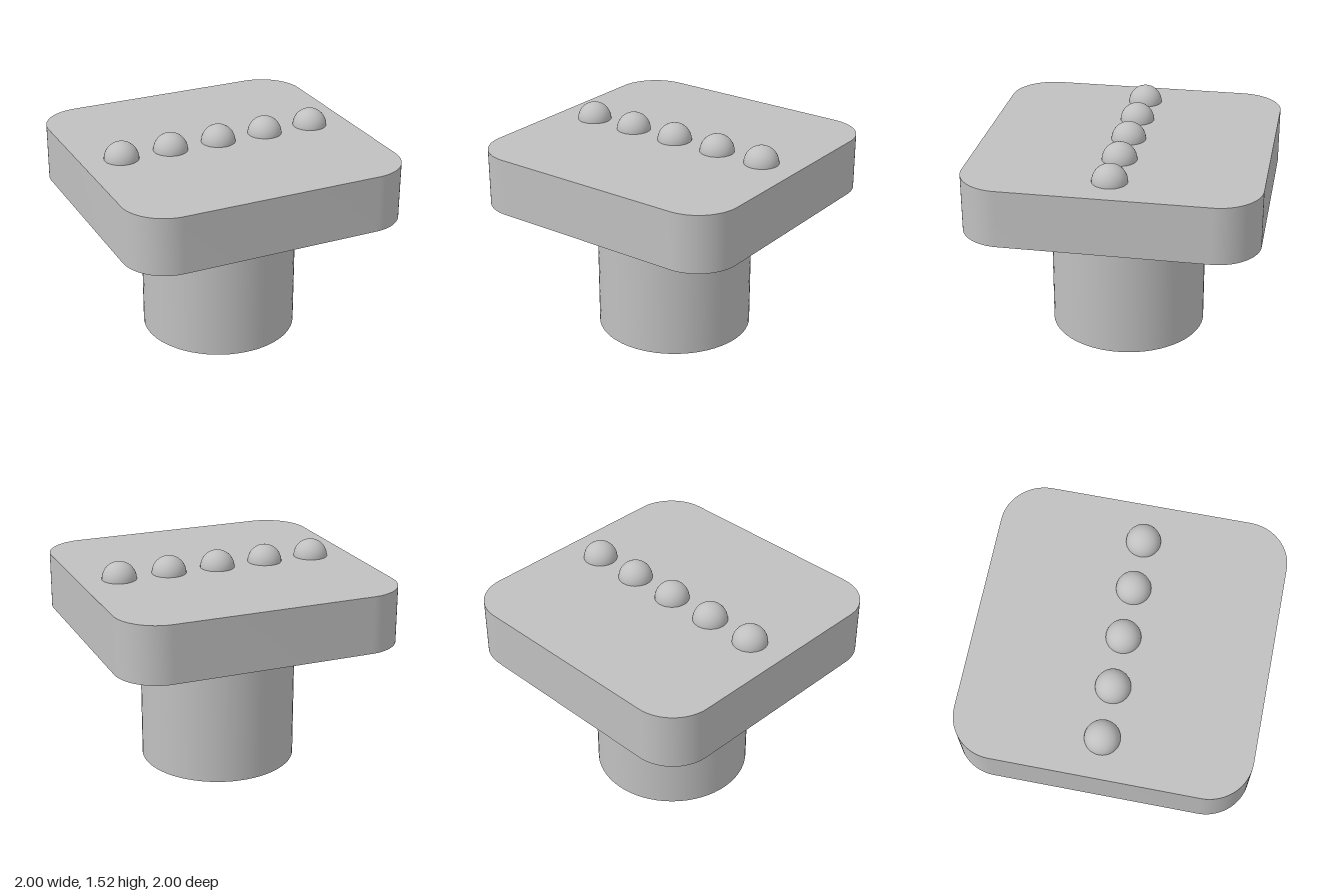
import * as THREE from 'three';
import { toCreasedNormals } from 'three/addons/utils/BufferGeometryUtils.js';

export function createModel() {
  const model = new THREE.Group();
  model.name = 'studdedKnob';
  const grey = new THREE.MeshStandardMaterial({ color: 0xc0c0c0 });
  grey.name = 'plain grey';

  const add = (name, geometry, x = 0, y = 0, z = 0) => {
    const mesh = new THREE.Mesh(geometry, grey);
    mesh.name = name;
    mesh.position.set(x, y, z);
    model.add(mesh);
  };

  // Rounded square plate
  const s = 1, r = 0.3, c = s - r;
  const outline = new THREE.Shape();
  outline.absarc(c, c, r, 0, Math.PI / 2);
  outline.absarc(-c, c, r, Math.PI / 2, Math.PI);
  outline.absarc(-c, -c, r, Math.PI, Math.PI * 1.5);
  outline.absarc(c, -c, r, Math.PI * 1.5, Math.PI * 2);
  const plate = new THREE.ExtrudeGeometry(outline, { depth: 0.4, bevelEnabled: false, curveSegments: 16 });
  plate.rotateX(-Math.PI / 2);
  add('plate', toCreasedNormals(plate, 0.5), 0, 1);

  // Row of domed studs
  for (let i = -2; i <= 2; i++) {
    add('stud', new THREE.SphereGeometry(0.12, 32, 16, 0, Math.PI * 2, 0, Math.PI / 2), i * 0.36, 1.4);
  }

  // Round stem wall
  add('stem', new THREE.CylinderGeometry(0.55, 0.55, 1, 64, 1, true), 0, 0.5);

  // Six-armed socket outline: an inner corner, then the two corners of an arm tip
  const star = (inner, tip, halfAngle) => {
    const points = [];
    for (let i = 0; i < 6; i++) {
      const a = i * Math.PI / 3, mid = a + Math.PI / 6;
      for (const [radius, angle] of [[inner, a], [tip, mid - halfAngle], [tip, mid + halfAngle]]) {
        points.push(new THREE.Vector2(radius * Math.cos(angle), radius * Math.sin(angle)));
      }
    }
    return points;
  };
  const rim = star(0.3, 0.546, 0.133);
  const core = star(0.205, 0.5, 0.04);

  // Underside of the stem, pierced by the socket
  const base = new THREE.Shape().absarc(0, 0, 0.55, 0, Math.PI * 2);
  base.holes.push(new THREE.Path(rim));
  add('stemBase', new THREE.ShapeGeometry(base, 32).rotateX(Math.PI / 2));

  // Socket walls: chamfered mouth, then straight up to the plate
  const wall = (low, y0, high, y1) => {
    const positions = [];
    low.forEach((p, i) => {
      const j = (i + 1) % low.length;
      const p0 = [p.x, y0, p.y], p1 = [low[j].x, y0, low[j].y];
      const q0 = [high[i].x, y1, high[i].y], q1 = [high[j].x, y1, high[j].y];
      positions.push(...p0, ...p1, ...q0, ...p1, ...q1, ...q0);
    });
    const geometry = new THREE.BufferGeometry();
    geometry.setAttribute('position', new THREE.Float32BufferAttribute(positions, 3));
    geometry.computeVertexNormals();
    return geometry;
  };
  add('socketChamfer', wall(rim, 0, core, 0.07));
  add('socketWall', wall(core, 0.07, core, 1));

  return model;
}
